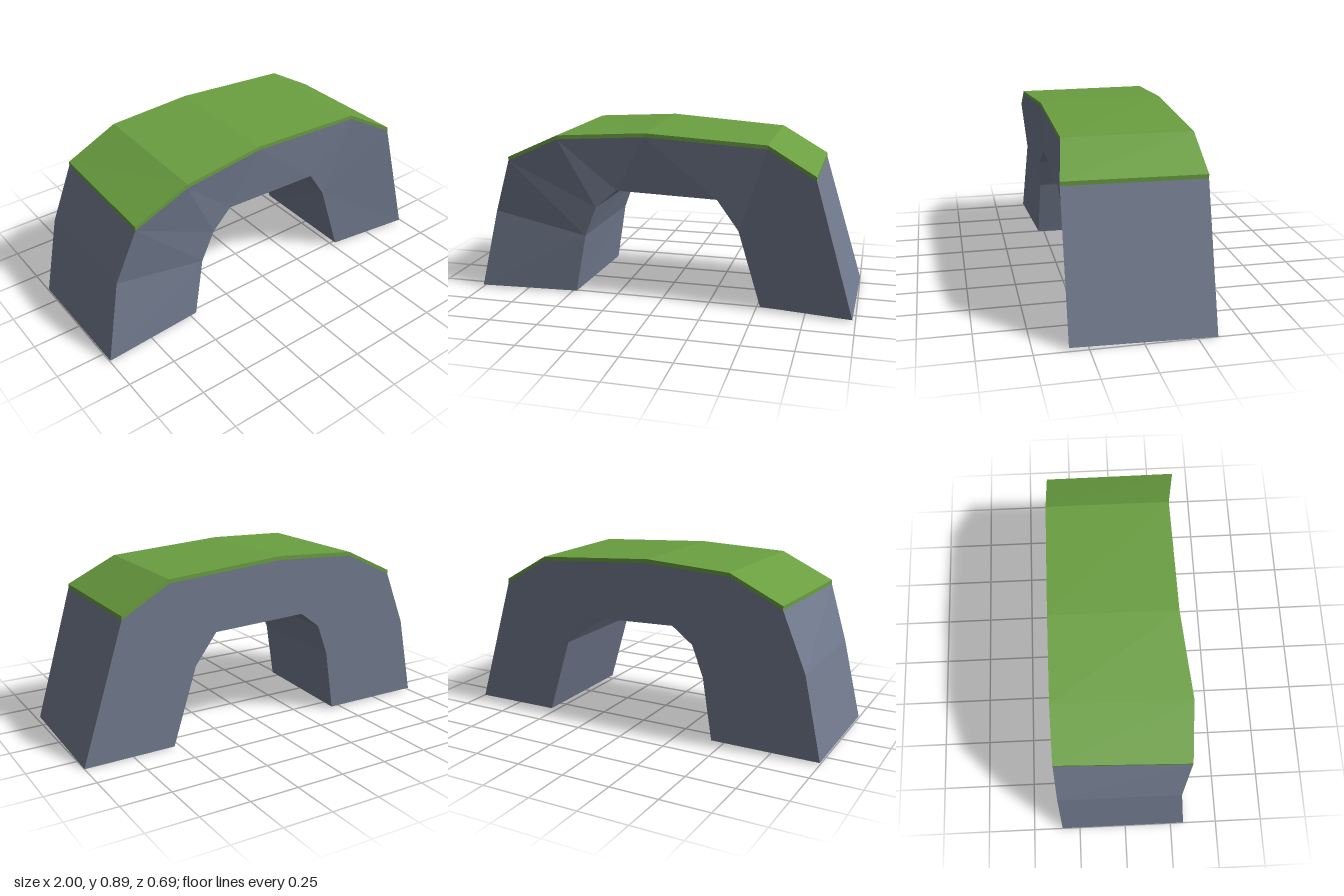
import * as THREE from 'three';

const v = (x, y, z) => new THREE.Vector3(x, y, z);
const BACK = -0.345;
const TURF = 0.02; // thickness of the grass layer

// Flat-shaded geometry from a list of corner points, three per triangle
function facets(points) {
  const g = new THREE.BufferGeometry().setFromPoints(points);
  g.computeVertexNormals();
  return g;
}

const quad = (out, a, b, c, d) => out.push(a, b, c, a, c, d);

export function createModel() {
  const rock = new THREE.MeshStandardMaterial({ color: 0x727b8f });
  rock.name = 'slate grey';
  const grass = new THREE.MeshStandardMaterial({ color: 0x6a9f40 });
  grass.name = 'grass green';

  // Outer and inner arch lines, left foot over the top to right foot
  const outerF = [v(-1, 0.01, 0.32), v(-0.91, 0.43, 0.29), v(-0.81, 0.715, 0.33),
    v(-0.53, 0.842, 0.345), v(-0.08, 0.865, 0.305), v(0.54, 0.83, 0.297),
    v(0.785, 0.695, 0.34), v(0.985, 0.01, 0.34)];
  const outerB = [v(-1, 0.01, BACK), v(-0.91, 0.43, BACK), v(-0.79, 0.72, BACK),
    v(-0.52, 0.848, BACK), v(-0.08, 0.873, BACK), v(0.54, 0.83, BACK),
    v(0.785, 0.688, BACK), v(1, 0, BACK)];
  const innerF = [v(-0.47, 0.01, 0.285), v(-0.415, 0.32, 0.275), v(-0.35, 0.48, 0.285),
    v(-0.24, 0.575, 0.275), v(0.29, 0.56, 0.28), v(0.4, 0.4, 0.265), v(0.52, 0.01, 0.275)];
  const innerB = [v(-0.44, 0.01, BACK), v(-0.39, 0.33, BACK), v(-0.33, 0.49, BACK),
    v(-0.22, 0.573, BACK), v(0.29, 0.555, BACK), v(0.405, 0.4, BACK), v(0.53, 0.003, BACK)];

  // Front and back faces: a triangle strip stepping along outer (o) or inner (i)
  const face = [];
  let o = 0, i = 0;
  for (const step of 'iooioioioiooi') {
    if (step === 'o') {
      face.push(outerF[o], innerF[i], outerF[o + 1]);
      face.push(outerB[o], outerB[o + 1], innerB[i]);
      o++;
    } else {
      face.push(outerF[o], innerF[i], innerF[i + 1]);
      face.push(outerB[o], innerB[i + 1], innerB[i]);
      i++;
    }
  }

  // Outer shell, underside of the arch and soles of the feet
  const shell = [], vault = [], feet = [];
  for (let k = 0; k < 7; k++) quad(shell, outerB[k], outerF[k], outerF[k + 1], outerB[k + 1]);
  for (let k = 0; k < 6; k++) quad(vault, innerF[k], innerB[k], innerB[k + 1], innerF[k + 1]);
  quad(feet, outerF[0], outerB[0], innerB[0], innerF[0]);
  quad(feet, innerF[6], innerB[6], outerB[7], outerF[7]);

  // Grass layer resting on the upper part of the arch
  const lift = p => p.clone().setY(p.y + TURF);
  const lowF = outerF.slice(2, 7), lowB = outerB.slice(2, 7);
  const topF = lowF.map(lift), topB = lowB.map(lift);
  const turf = [];
  for (let k = 0; k < 4; k++) {
    quad(turf, topB[k], topF[k], topF[k + 1], topB[k + 1]);
    quad(turf, lowF[k], lowF[k + 1], topF[k + 1], topF[k]);
    quad(turf, lowB[k + 1], lowB[k], topB[k], topB[k + 1]);
  }
  quad(turf, lowB[0], lowF[0], topF[0], topB[0]);
  quad(turf, lowF[4], lowB[4], topB[4], topF[4]);

  const model = new THREE.Group();
  model.name = 'rockArch';
  const add = (name, points, material) => {
    const mesh = new THREE.Mesh(facets(points), material);
    mesh.name = name;
    model.add(mesh);
  };
  add('archFaces', face, rock);
  add('archOuterShell', shell, rock);
  add('archUnderside', vault, rock);
  add('footSoles', feet, rock);
  add('grassTop', turf, grass);
  return model;
}
